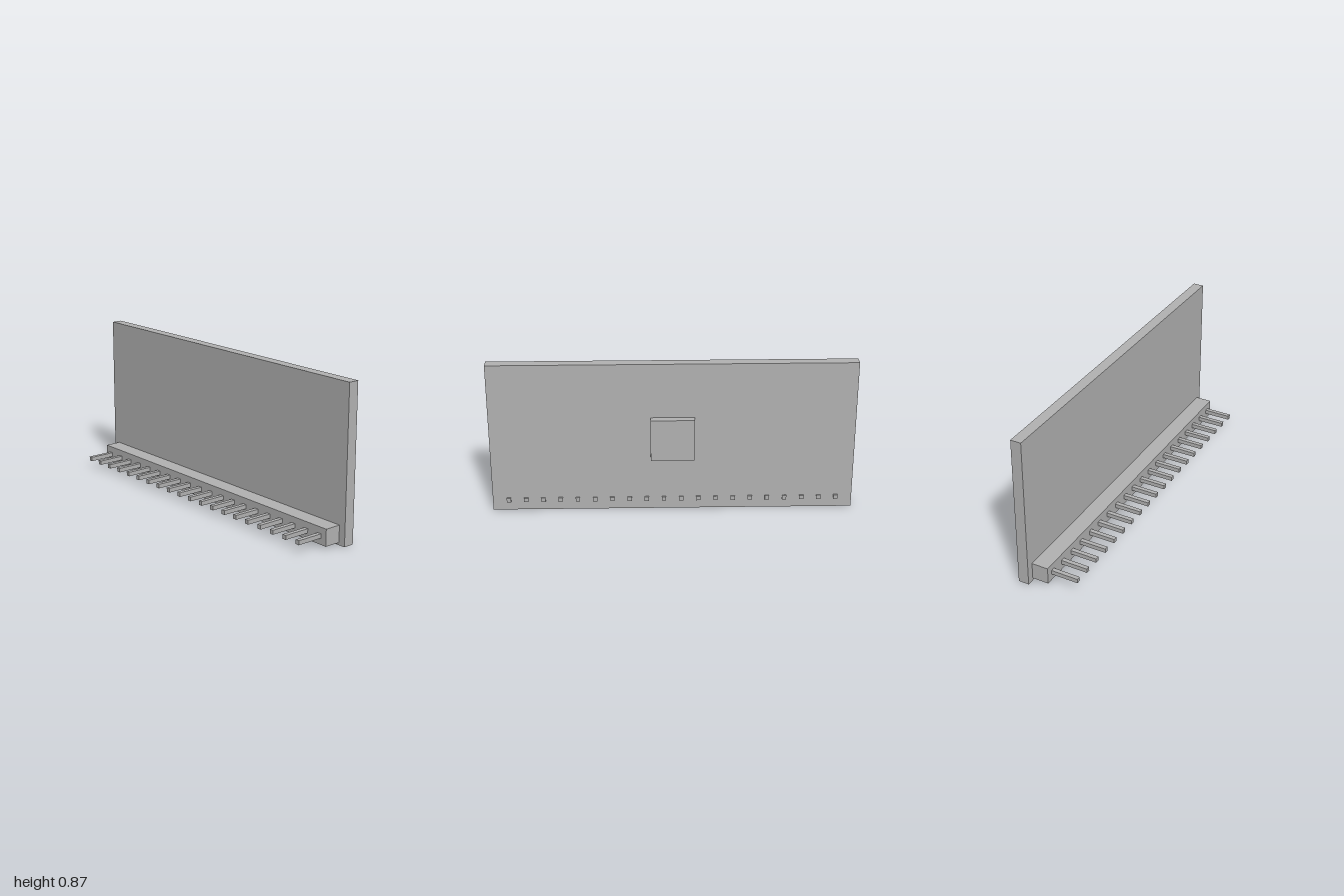
import * as THREE from 'three';

export function createModel() {
  const model = new THREE.Group();
  model.name = 'pinHeaderModule';

  const grey = new THREE.MeshStandardMaterial({ color: 0xb2b2b2 });
  grey.name = 'plain grey';

  // Box given by its [min, max] range on each axis
  function addBox(name, [x0, x1], [y0, y1], [z0, z1], parent = model) {
    const mesh = new THREE.Mesh(new THREE.BoxGeometry(x1 - x0, y1 - y0, z1 - z0), grey);
    mesh.position.set((x0 + x1) / 2, (y0 + y1) / 2, (z0 + z1) / 2);
    mesh.name = name;
    parent.add(mesh);
  }

  const boardFront = -0.073;
  const boardBack = -0.133;

  // Upright board, chip on its back and header strip on its front
  addBox('board', [-1, 1], [0, 0.865], [boardBack, boardFront]);
  addBox('chip', [-0.12, 0.12], [0.313, 0.554], [-0.175, boardBack]);
  addBox('headerStrip', [-0.96, 0.96], [0.014, 0.109], [boardFront, 0.021]);

  // Row of square pins running through the strip and the board
  const pins = new THREE.Group();
  pins.name = 'pins';
  model.add(pins);
  const pinCount = 20, pitch = 0.0959, half = 0.012, pinY = 0.0615;
  for (let i = 0; i < pinCount; i++) {
    const x = (i - (pinCount - 1) / 2) * pitch;
    addBox('pin', [x - half, x + half], [pinY - half, pinY + half], [-0.142, 0.175], pins);
  }

  return model;
}
